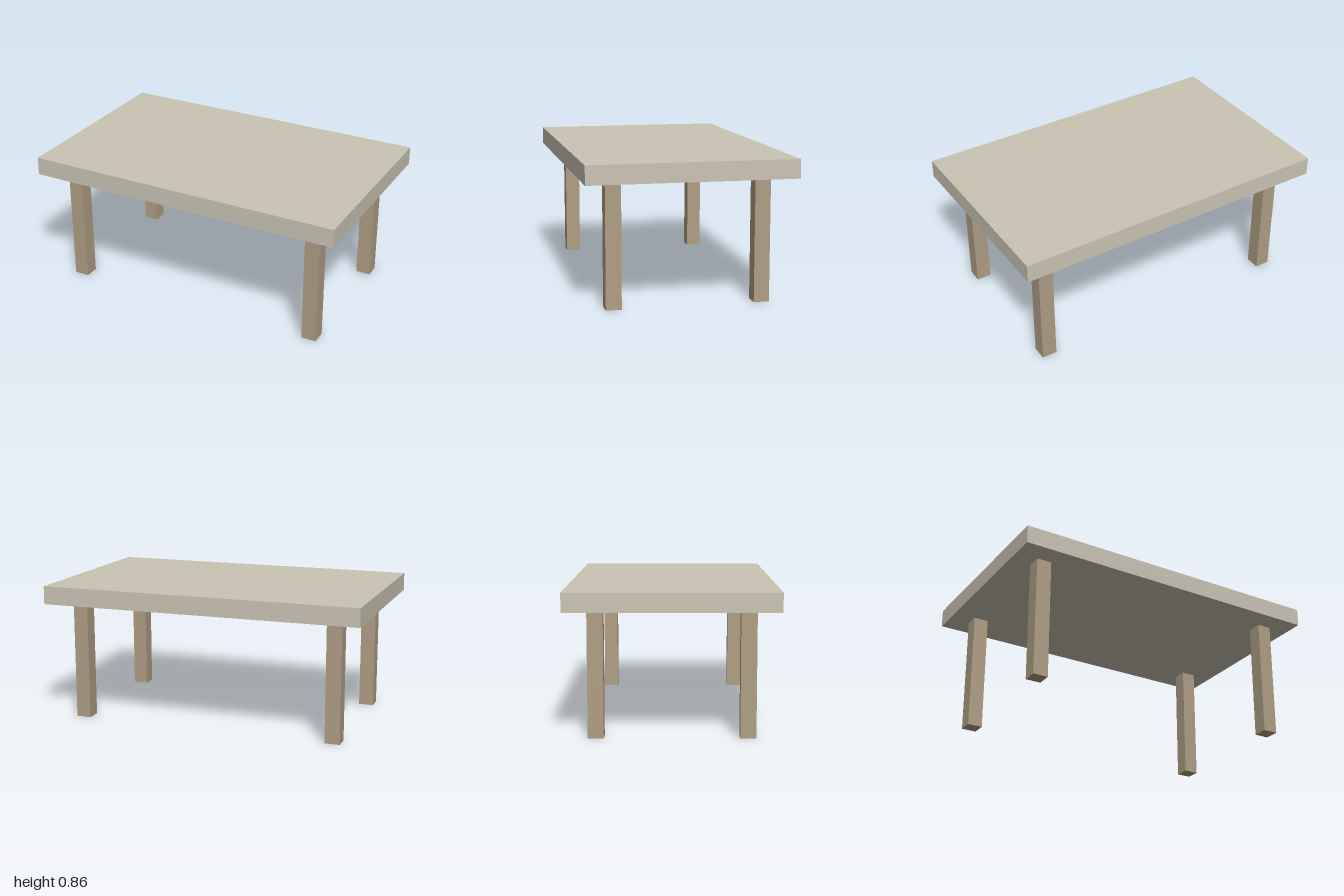
import * as THREE from 'three';

export function createModel() {
  const table = new THREE.Group();
  table.name = 'table';

  const paleWood = new THREE.MeshStandardMaterial({ color: 0xcac4b4 });
  paleWood.name = 'paleWood';
  const brownWood = new THREE.MeshStandardMaterial({ color: 0xb09e84 });
  brownWood.name = 'brownWood';

  const legHeight = 0.746, legWidth = 0.093, topThickness = 0.113;

  // Thick slab top
  const top = new THREE.Mesh(new THREE.BoxGeometry(2, topThickness, 1.237), paleWood);
  top.name = 'tableTop';
  top.position.y = legHeight + topThickness / 2;
  table.add(top);

  // Four square legs, inset from the corners
  const legGeometry = new THREE.BoxGeometry(legWidth, legHeight, legWidth);
  for (const [side, x] of [['Left', 0.819], ['Right', -0.819]]) {
    for (const [end, z] of [['front', 0.44], ['back', -0.44]]) {
      const leg = new THREE.Mesh(legGeometry, brownWood);
      leg.name = `${end}${side}Leg`;
      leg.position.set(x, legHeight / 2, z);
      table.add(leg);
    }
  }

  return table;
}
